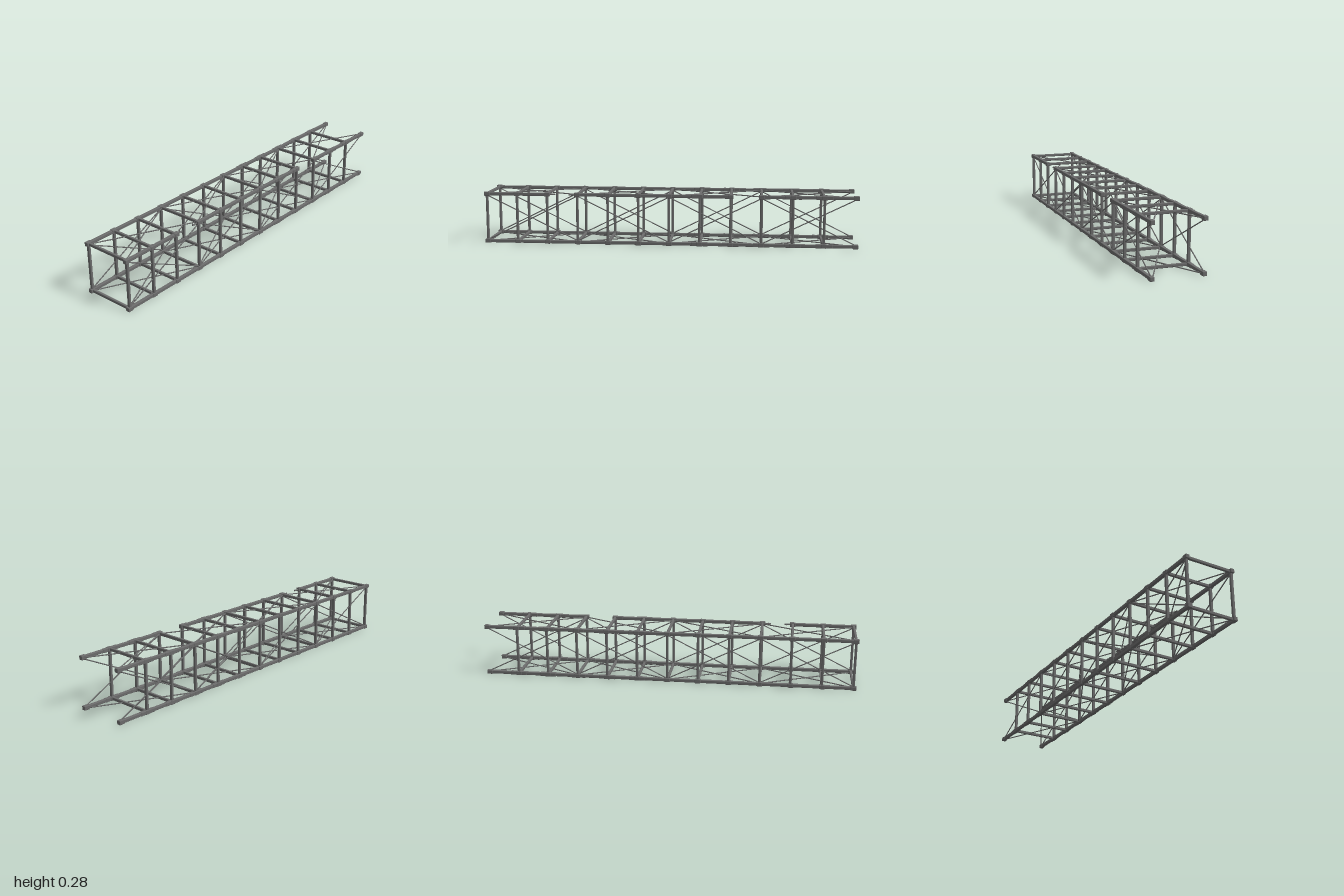
import * as THREE from 'three';
import { RoundedBoxGeometry } from 'three/addons/geometries/RoundedBoxGeometry.js';

const X = 0.129, Y0 = 0.011, Y1 = 0.269; // chord centre lines
const YM = (Y0 + Y1) / 2;
const STEP = 0.1642;                     // bay length
const nodeZ = (i) => 0.985 - i * STEP;   // 13 stations, front to back

export function createModel() {
  const model = new THREE.Group();
  const steel = new THREE.MeshStandardMaterial({ color: 0x6c6c6c });
  const up = new THREE.Vector3(0, 1, 0);

  // Thin round rod between two points
  function rod(name, a, b, radius) {
    const p = new THREE.Vector3(...a), q = new THREE.Vector3(...b);
    const d = q.clone().sub(p);
    const mesh = new THREE.Mesh(new THREE.CylinderGeometry(radius, radius, d.length(), 8), steel);
    mesh.name = name;
    mesh.position.copy(p).add(q).multiplyScalar(0.5);
    mesh.quaternion.setFromUnitVectors(up, d.normalize());
    model.add(mesh);
  }

  // Square section with softened edges
  function block(name, size, x, y, z) {
    const mesh = new THREE.Mesh(new RoundedBoxGeometry(...size, 2, 0.003), steel);
    mesh.name = name;
    mesh.position.set(x, y, z);
    model.add(mesh);
  }

  for (const x of [-X, X]) {
    for (const y of [Y0, Y1]) {
      // Long chords; the upper left one has two open bays
      const open = x > 0 && y === Y1 ? [2, 8] : [];
      for (let i = 0; i < 12; i++) {
        if (!open.includes(i)) block('chord', [0.017, 0.017, STEP], x, y, nodeZ(i + 0.5));
      }
      // Corner joints, with longer sleeves on the rear half
      for (let i = 0; i <= 12; i++) {
        block('cornerJoint', [0.022, 0.022, 0.03], x, y, nodeZ(i));
        if (i > 6 && i < 12) {
          const back = open.includes(i) ? 0.015 : 0.045;
          const front = open.includes(i - 1) ? 0.015 : 0.045;
          block('jointSleeve', [0.0195, 0.0195, back + front], x, y, nodeZ(i) + (front - back) / 2);
        }
      }
    }
  }

  // Exposed pins facing each other across the front open bay
  for (const [i, s] of [[2, -1], [3, 1]]) {
    const z = nodeZ(i);
    rod('jointPin', [X, Y1, z], [X, Y1, z + s * 0.045], 0.004);
    rod('pinCrossbar', [X - 0.009, Y1, z + s * 0.035], [X + 0.009, Y1, z + s * 0.035], 0.003);
  }

  // Square frames; the rear end stays open
  for (let i = 0; i < 12; i++) {
    const z = nodeZ(i);
    for (const y of [Y0, Y1]) block('crossbar', [2 * X, 0.0155, 0.013], 0, y, z);
    for (const x of [-X, X]) block('upright', [0.0155, Y1 - Y0, 0.013], x, YM, z);
  }

  // Crossed bracing, one pair per three bays on every side
  for (let i = 0; i < 12; i += 3) {
    const a = nodeZ(i), b = nodeZ(i + 3);
    for (const [za, zb] of [[a, b], [b, a]]) {
      for (const y of [Y0, Y1]) rod('diagonalBrace', [-X + 0.007, y, za], [X - 0.007, y, zb], 0.003);
      for (const x of [-X, X]) rod('diagonalBrace', [x, Y0 + 0.007, za], [x, Y1 - 0.007, zb], 0.003);
    }
  }
  return model;
}
